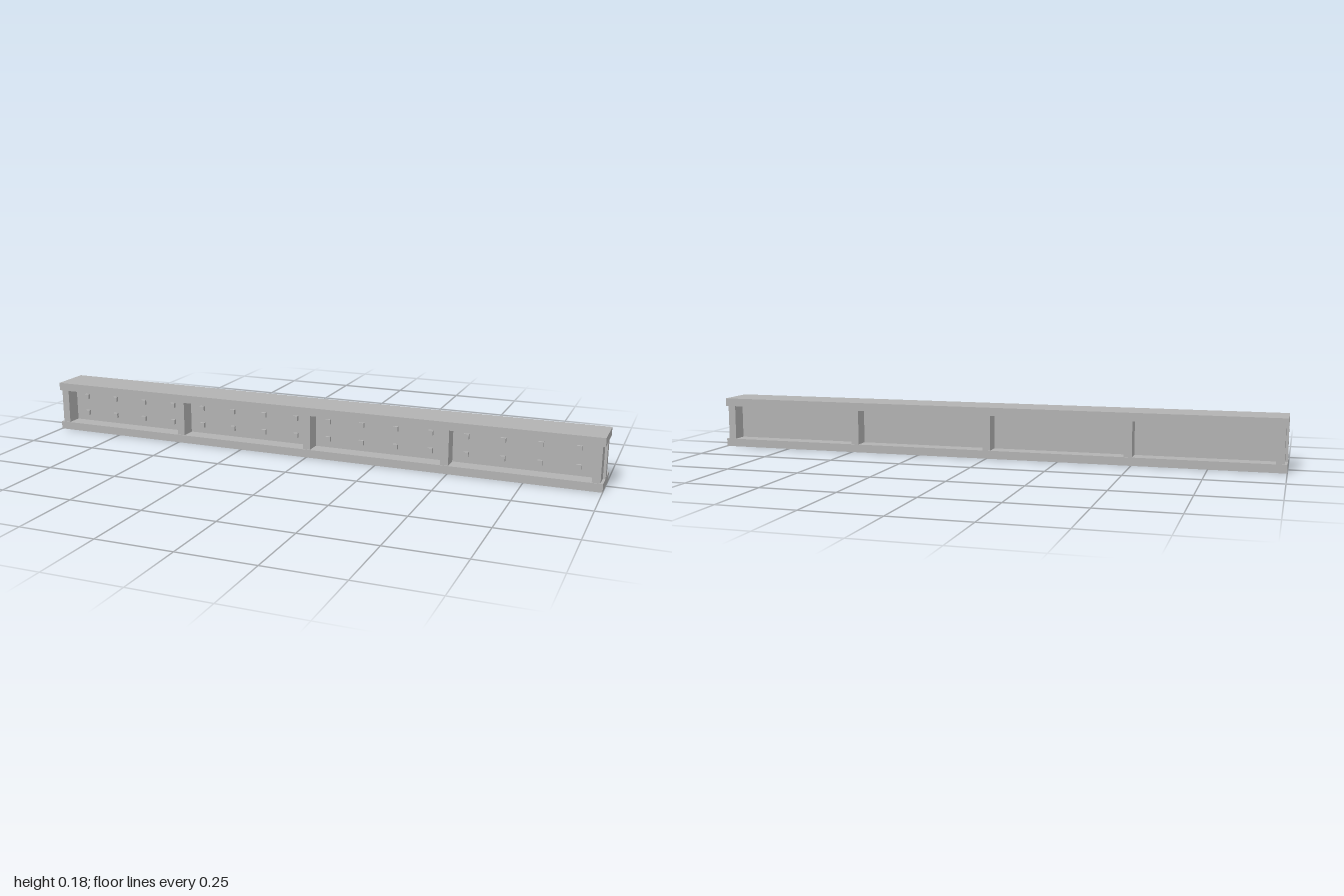
import * as THREE from 'three';

const HEIGHT = 0.177;   // overall beam height
const FLANGE = 0.028;   // flange thickness
const WEB = 0.027;      // web thickness
const CLEAR = HEIGHT - 2 * FLANGE; // gap between the flanges

export function createModel() {
  const steel = new THREE.MeshStandardMaterial({ color: 0xb2b2b2 });
  steel.name = 'steel grey';

  const beam = new THREE.Group();
  beam.name = 'girder';

  const addBox = (name, w, h, d, x, y, z, parent = beam) => {
    const mesh = new THREE.Mesh(new THREE.BoxGeometry(w, h, d), steel);
    mesh.name = name;
    mesh.position.set(x, y, z);
    parent.add(mesh);
    return mesh;
  };

  // Flanges and the web between them
  addBox('bottomFlange', 2, FLANGE, 0.141, 0, FLANGE / 2, 0);
  addBox('topFlange', 2, FLANGE, 0.141, 0, HEIGHT - FLANGE / 2, 0);
  addBox('web', 2, CLEAR, WEB, 0, HEIGHT / 2, 0);

  // Five evenly spaced stiffener plates on each side of the web
  const stiffeners = new THREE.Group();
  stiffeners.name = 'stiffeners';
  beam.add(stiffeners);
  const reach = 0.067 - WEB / 2;
  for (const side of [1, -1]) {
    for (let i = -2; i <= 2; i++) {
      addBox(side > 0 ? 'frontStiffener' : 'backStiffener', 0.027, CLEAR, reach,
        i * 0.489, HEIGHT / 2, side * (WEB / 2 + reach / 2), stiffeners);
    }
  }

  // Two rows of square rivet heads on the front of the web
  const rivets = new THREE.Group();
  rivets.name = 'rivets';
  beam.add(rivets);
  for (const y of [0.059, 0.121]) {
    for (let i = 0; i < 16; i++) {
      addBox('rivet', 0.017, 0.017, 0.01, (i - 7.5) * 0.122, y, WEB / 2 + 0.005, rivets);
    }
  }

  return beam;
}
